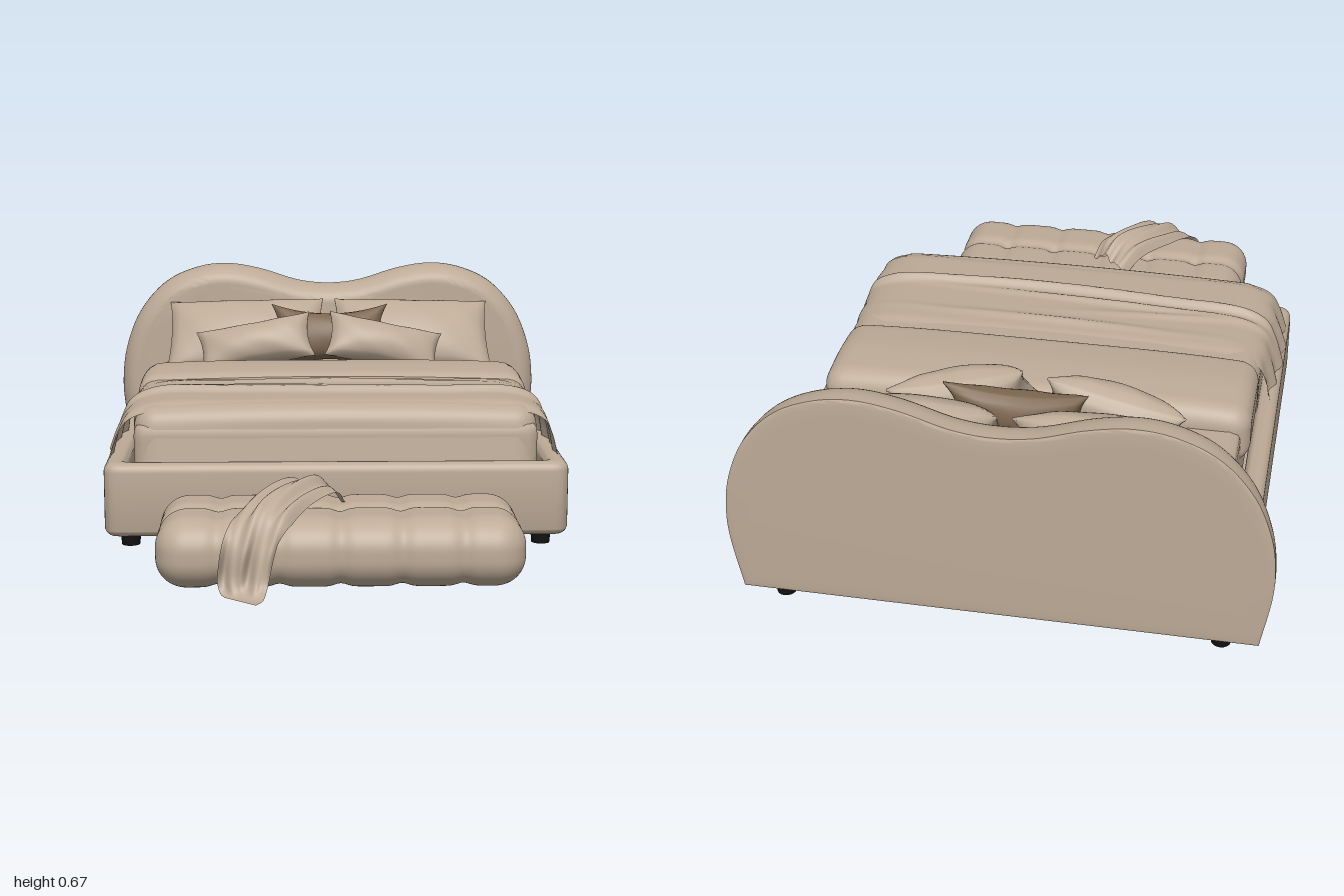
import * as THREE from 'three';
import { mergeVertices, toCreasedNormals } from 'three/addons/utils/BufferGeometryUtils.js';
import { ParametricGeometry } from 'three/addons/geometries/ParametricGeometry.js';

const clamp = THREE.MathUtils.clamp;
const bump = (d, w) => Math.exp(-(d * d) / (w * w));

// Apply a rule to every vertex, then weld and smooth
function shapeVertices(geo, rule) {
  const pos = geo.attributes.position, p = new THREE.Vector3();
  for (let i = 0; i < pos.count; i++) {
    rule(p.fromBufferAttribute(pos, i));
    pos.setXYZ(i, p.x, p.y, p.z);
  }
  geo.deleteAttribute('normal');
  geo.deleteAttribute('uv');
  const welded = mergeVertices(geo, 1e-5);
  welded.computeVertexNormals();
  return welded;
}

// Evenly subdivided box with rounded edges, plus an optional rule(p, outwardNormal)
function softBox(w, h, d, r, seg, rule) {
  const q = new THREE.Vector3(), n = new THREE.Vector3();
  return shapeVertices(new THREE.BoxGeometry(w, h, d, ...seg), p => {
    q.set(clamp(p.x, r - w / 2, w / 2 - r), clamp(p.y, r - h / 2, h / 2 - r), clamp(p.z, r - d / 2, d / 2 - r));
    n.subVectors(p, q).normalize();
    p.copy(q).addScaledVector(n, r);
    if (rule) rule(p, n);
  });
}

// Cushion with pinched, pointed corners and a thin seam
function cushion(w, h, t, pinch) {
  return shapeVertices(new THREE.BoxGeometry(2, 2, 2, 32, 24, 1), p => {
    const u = p.x, v = p.y, eu = 1 - u * u, ev = 1 - v * v;
    const crease = 1 + 0.06 * Math.sin(9 * u + 4 * v) * (1 - eu * ev);
    p.set(u * w / 2 * (1 - pinch * 0.5 * ev), v * h / 2 * (1 - pinch * eu),
      Math.sign(p.z) * (0.003 + t / 2 * Math.pow(Math.max(eu * ev, 0), 0.5) * crease));
  });
}

function roundedRect(Type, x, z0, z1, r) {
  const s = new Type();
  s.moveTo(-x + r, z0);
  s.lineTo(x - r, z0); s.quadraticCurveTo(x, z0, x, z0 + r);
  s.lineTo(x, z1 - r); s.quadraticCurveTo(x, z1, x - r, z1);
  s.lineTo(-x + r, z1); s.quadraticCurveTo(-x, z1, -x, z1 - r);
  s.lineTo(-x, z0 + r); s.quadraticCurveTo(-x, z0, -x + r, z0);
  return s;
}

export function createModel() {
  const model = new THREE.Group();
  model.name = 'bedWithBench';
  const fabric = new THREE.MeshStandardMaterial({ color: 0xbcaa96, side: THREE.DoubleSide });
  fabric.name = 'beigeFabric';
  const brown = new THREE.MeshStandardMaterial({ color: 0x7c664f });
  brown.name = 'brownFabric';
  const black = new THREE.MeshStandardMaterial({ color: 0x121212 });
  black.name = 'blackLeg';
  const add = (name, geo, mat, x = 0, y = 0, z = 0) => {
    const m = new THREE.Mesh(geo, mat);
    m.name = name;
    m.position.set(x, y, z);
    model.add(m);
    return m;
  };

  // Headboard: double-arched outline, rounded front, flat back
  const half = [[0.712, 0.2], [0.714, 0.28], [0.7, 0.38], [0.65, 0.505], [0.56, 0.605], [0.45, 0.655],
    [0.35, 0.667], [0.24, 0.65], [0.1, 0.608]];
  const outline = [[0.685, 0.037], ...half, [0, 0.598],
    ...half.slice().reverse().map(([x, y]) => [-x, y]), [-0.685, 0.037]];
  const curve = new THREE.CatmullRomCurve3(outline.map(([x, y]) => new THREE.Vector3(x, y, 0)));
  const board = new THREE.ExtrudeGeometry(
    new THREE.Shape(curve.getPoints(110).map(p => new THREE.Vector2(p.x, p.y))),
    { depth: 0.02, bevelThickness: 0.085, bevelSize: 0.06, bevelOffset: -0.06, bevelSegments: 10 });
  const bp = board.attributes.position;
  for (let i = 0; i < bp.count; i++) if (bp.getZ(i) < 0) bp.setZ(i, bp.getZ(i) * 0.06);
  add('headboard', toCreasedNormals(board, 0.7), fabric, 0, 0, -0.995);

  // Padded frame around the mattress, with its base panel
  const ring = roundedRect(THREE.Shape, 0.655, -0.372, 0.92, 0.05);
  ring.holes.push(roundedRect(THREE.Path, 0.592, -0.312, 0.88, 0.02));
  const rails = new THREE.ExtrudeGeometry(ring, { depth: 0.16, bevelThickness: 0.025, bevelSize: 0.025,
    bevelOffset: -0.025, bevelSegments: 6, curveSegments: 8 });
  rails.rotateX(-Math.PI / 2);
  add('frame', toCreasedNormals(rails, 0.7), fabric, 0, 0.062, 0);
  add('basePanel', new THREE.BoxGeometry(1.22, 0.02, 1.22), fabric, 0, 0.055, -0.28);

  // Legs
  for (const x of [-0.585, 0.585]) for (const z of [0.29, -0.95])
    add('leg', new THREE.CylinderGeometry(0.03, 0.026, 0.045, 16), black, x, 0.0225, z);

  // Mattress, duvet and the folded-back end of the duvet
  add('mattress', softBox(1.15, 0.28, 1.17, 0.03, [40, 16, 40]), fabric, 0, 0.205, -0.3);
  add('duvet', softBox(1.2, 0.22, 0.55, 0.06, [60, 22, 40], p => {
    const front = clamp((p.z + 0.05) / 0.3, 0, 1);
    p.x *= 1 - 0.045 * front;
    p.y -= 0.012 * Math.pow(p.x / 0.6, 2);
    if (p.z > 0) p.z += 0.022 * clamp((0.05 - p.y) / 0.15, 0, 1);
  }), fabric, 0, 0.288, 0.005);
  add('duvetFold', softBox(1.2, 0.18, 0.315, 0.055, [60, 18, 32], p => {
    if (p.y > 0) p.y += 0.012 * bump(p.z, 0.12) - 0.012 * Math.pow(p.x / 0.6, 4);
  }), fabric, 0, 0.316, -0.343);

  // Wide throw draped over the foot of the bed
  const section = new THREE.CatmullRomCurve3([[-0.64, 0.243], [-0.622, 0.31], [-0.595, 0.363], [-0.53, 0.393],
    [-0.3, 0.4], [0, 0.402], [0.3, 0.4], [0.53, 0.393], [0.595, 0.363], [0.617, 0.31], [0.63, 0.243]]
    .map(([x, y]) => new THREE.Vector3(x, y, 0)));
  const throwGeo = new ParametricGeometry((u, v, out) => {
    section.getPoint(u, out);
    const x = out.x, z = -0.18 + 0.435 * v, side = clamp((0.4 - out.y) / 0.15, 0, 1);
    const ridges = 0.02 * bump(z - 0.065 - 0.018 * Math.sin(4 * x + 1), 0.014)
      + 0.011 * bump(z - 0.03 - 0.05 * x, 0.012) * bump(x + 0.2, 0.5)
      + 0.01 * bump(z + 0.1 - 0.03 * x, 0.016) * bump(x, 0.35)
      + 0.008 * bump(z + 0.04 + 0.06 * x, 0.014) * bump(x + 0.35, 0.25);
    out.y += ridges * (1 - side) - 0.02 * bump(v - 1, 0.07) * (1 - side) - 0.008 * bump(v, 0.05) * (1 - side);
    out.x += Math.sign(x) * side * (0.012 * bump(z - 0.09, 0.1) + 0.006 * Math.sin(z * 60) - 0.012 * bump(v, 0.2));
    out.z = z;
  }, 90, 70);
  throwGeo.computeVertexNormals();
  add('bedThrow', throwGeo, fabric);

  // Cushions: [name, material, size and pinch, position, rotation]
  const cushions = [
    ['smallPillow', fabric, [0.38, 0.165, 0.13, 0.16], [-0.245, 0.443, -0.585], [-0.65, -0.16, 0.12]],
    ['smallPillow', fabric, [0.38, 0.165, 0.13, 0.16], [0.175, 0.443, -0.575], [-0.65, 0.2, -0.12]],
    ['accentPillow', brown, [0.385, 0.22, 0.11, 0.3], [0, 0.455, -0.675], [-0.35, 0, 0]],
  ];
  for (const s of [-1, 1])
    cushions.push(['largePillow', fabric, [0.52, 0.285, 0.15, 0.08], [s * 0.282, 0.447, -0.765], [-0.75, s * 0.06, s * 0.02]]);
  for (const [name, mat, size, at, turn] of cushions)
    add(name, cushion(...size), mat, ...at).rotation.set(...turn);

  // Tufted bench: seams between six columns and two rows
  const pitch = 0.158;
  add('bench', softBox(0.955, 0.188, 0.395, 0.08, [108, 24, 48], (p, n) => {
    const k = Math.round(p.x / pitch), dx = p.x - k * pitch;
    const seamX = Math.abs(k) < 3 ? bump(dx, 0.022) : 0;
    const seamZ = bump(p.z, 0.02);
    p.addScaledVector(n, -0.009 * seamX - 0.011 * seamZ - 0.006 * seamX * seamZ);
    p.z *= 1 - 0.06 * Math.pow(Math.abs(p.y) / 0.094, 2);
  }), fabric, 0, 0.112, 0.685);

  // Crumpled throw sliding off the bench: centre line and half-width stations
  const vec = a => new THREE.Vector3(...a);
  const centre = new THREE.CatmullRomCurve3([[-0.04, 0.23, 0.59], [-0.075, 0.268, 0.65], [-0.15, 0.262, 0.76],
    [-0.205, 0.225, 0.86], [-0.235, 0.145, 0.905], [-0.25, 0.06, 0.915], [-0.252, 0.03, 0.94], [-0.255, 0.026, 0.965]].map(vec));
  const width = new THREE.CatmullRomCurve3([[0.055, 0, 0.05], [0.068, 0, 0.04], [0.07, 0, 0.04],
    [0.072, 0, 0.03], [0.07, 0, 0.01], [0.065, 0, 0.02], [0.055, 0, 0.03], [0.04, 0, 0.035]].map(vec));
  const w = new THREE.Vector3();
  const slide = new ParametricGeometry((u, v, out) => {
    const s = 2 * u - 1;
    centre.getPoint(v, out);
    out.addScaledVector(width.getPoint(v, w), s);
    const onTop = clamp((0.55 - v) / 0.15, 0, 1), hang = bump(v - 0.65, 0.15);
    const wave = Math.sin(s * 7 + v * 5) + 0.5 * Math.sin(s * 13 - v * 6);
    out.y += onTop * (0.009 * wave - 0.035 * Math.pow(Math.abs(s), 3));
    out.z += hang * 0.01 * wave;
  }, 40, 60);
  slide.computeVertexNormals();
  add('benchThrow', slide, fabric);

  return model;
}
